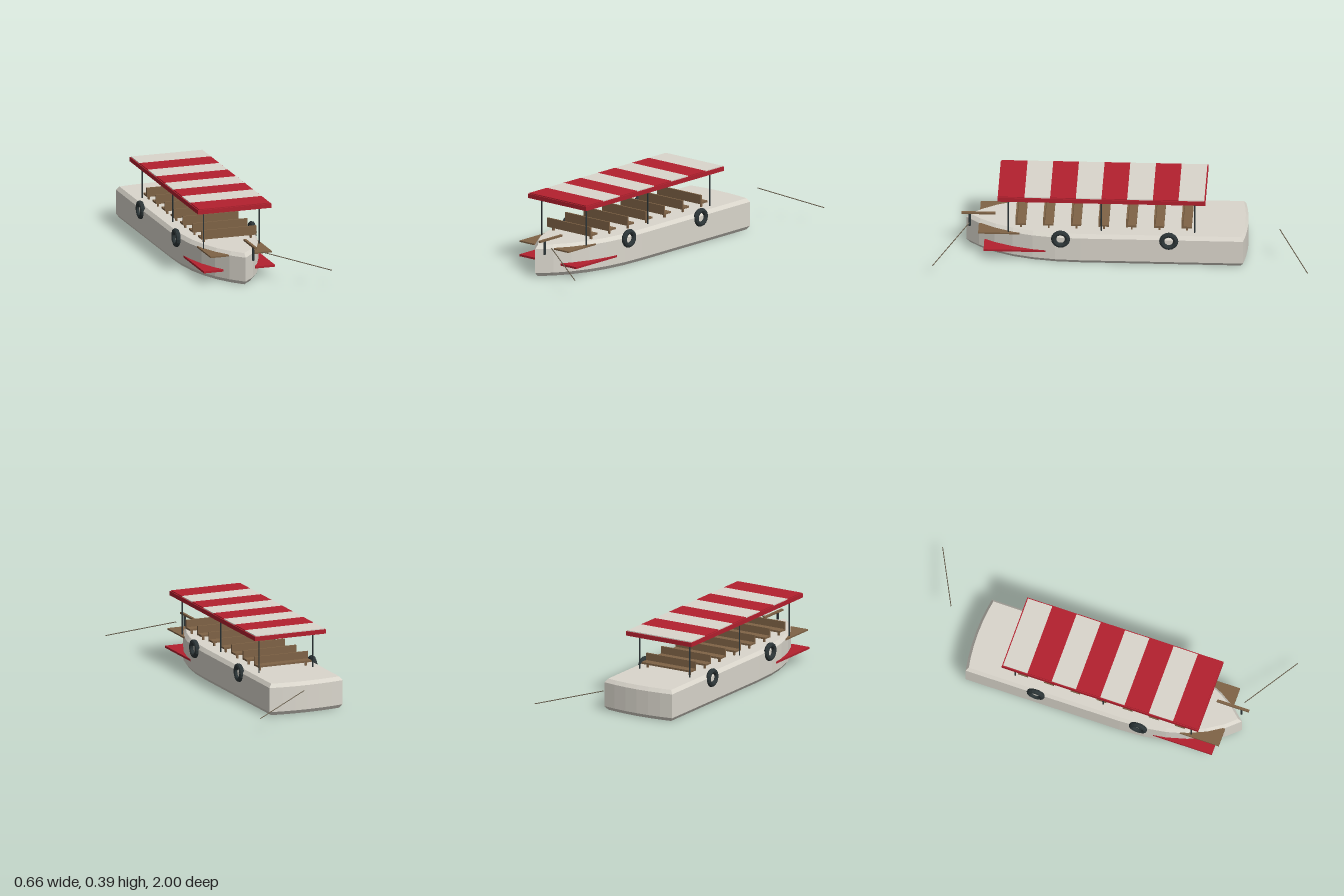
import * as THREE from 'three';

const mat = (name, color, flatShading = false) => {
  const m = new THREE.MeshStandardMaterial({ color, flatShading });
  m.name = name;
  return m;
};

export function createModel() {
  const white = mat('hullWhite', 0xdad6cc);
  const red = mat('awningRed', 0xb3202e);
  const wood = mat('wood', 0x7f6346);
  const dark = mat('darkRubber', 0x2c3537, true);
  const rope = mat('rope', 0x6e6452);

  const model = new THREE.Group();
  model.name = 'ferryBoat';
  // the boat sits off centre because the mooring ropes reach to one side
  const boat = new THREE.Group();
  boat.name = 'boat';
  boat.position.x = -0.102;
  model.add(boat);

  const add = (parent, name, geometry, material, x = 0, y = 0, z = 0) => {
    const mesh = new THREE.Mesh(geometry, material);
    mesh.name = name;
    mesh.position.set(x, y, z);
    parent.add(mesh);
    return mesh;
  };
  const box = (parent, name, material, w, h, d, x, y, z) =>
    add(parent, name, new THREE.BoxGeometry(w, h, d), material, x, y, z);

  // hull: plan outline (shape y = -z) extruded upward with chamfered rims
  const hw = 0.213;
  const plan = new THREE.Shape();
  plan.moveTo(-hw, 0.645);
  plan.lineTo(-hw, -0.22);
  plan.quadraticCurveTo(-hw, -0.64, 0, -0.835);
  plan.quadraticCurveTo(hw, -0.64, hw, -0.22);
  plan.lineTo(hw, 0.645);
  plan.quadraticCurveTo(0, 0.685, -hw, 0.645);
  const hull = new THREE.ExtrudeGeometry(plan, {
    depth: 0.132, curveSegments: 6, bevelEnabled: true, bevelSegments: 1,
    bevelThickness: 0.02, bevelSize: 0.015, bevelOffset: -0.015,
  });
  hull.rotateX(-Math.PI / 2);
  add(boat, 'hull', hull, white, 0, 0.02, 0);

  // awning slab with alternating stripes on top
  box(boat, 'awning', red, 0.412, 0.023, 1.104, 0, 0.3735, 0.108);
  const step = 0.1365;
  for (let i = 0; i < 8; i++) {
    box(boat, 'awningStripe', i % 2 ? white : red, 0.4, 0.005, step,
      0, 0.3875, 0.654 - step * (i + 0.5));
  }

  // benches, backrest toward the bow
  for (let i = 0; i < 7; i++) {
    const bench = new THREE.Group();
    bench.name = 'bench';
    bench.position.z = 0.562 - i * 0.147;
    boat.add(bench);
    box(bench, 'seat', wood, 0.31, 0.01, 0.052, 0, 0.2, -0.024);
    box(bench, 'backrest', wood, 0.31, 0.05, 0.009, 0, 0.219, 0);
    for (const s of [-1, 1]) {
      box(bench, 'benchLeg', wood, 0.01, 0.03, 0.01, s * 0.133, 0.183, -0.024);
    }
  }

  // mirrored side fittings
  for (const s of [-1, 1]) {
    for (const z of [0.605, 0.11, -0.385]) {
      add(boat, 'awningPost', new THREE.CylinderGeometry(0.004, 0.004, 0.21, 8),
        dark, s * 0.157, 0.26, z);
    }
    for (const z of [0.325, -0.25]) {
      const tire = add(boat, 'tireFender', new THREE.TorusGeometry(0.037, 0.014, 8, 16),
        dark, s * 0.2135, 0.147, z);
      tire.rotation.y = Math.PI / 2;
    }
    box(boat, 'bowStep', wood, 0.103, 0.008, 0.22, s * 0.121, 0.151, 0.655);
    box(boat, 'bowRubbingBoard', red, 0.11, 0.011, 0.33, s * 0.145, 0.063, 0.57);
  }

  // tiller at the bow
  add(boat, 'tillerPost', new THREE.CylinderGeometry(0.0065, 0.0065, 0.082, 8),
    dark, 0.049, 0.168, 0.815);
  box(boat, 'tillerBar', wood, 0.014, 0.01, 0.18, 0.049, 0.205, 0.768);

  // mooring ropes running outward and down
  for (const s of [-1, 1]) {
    const path = new THREE.LineCurve3(
      new THREE.Vector3(-0.004, 0.17, s * (s > 0 ? 0.815 : 0.835)),
      new THREE.Vector3(0.326, 0.087, s * 0.998));
    add(model, 'mooringRope', new THREE.TubeGeometry(path, 1, 0.0025, 6), rope);
  }
  return model;
}
